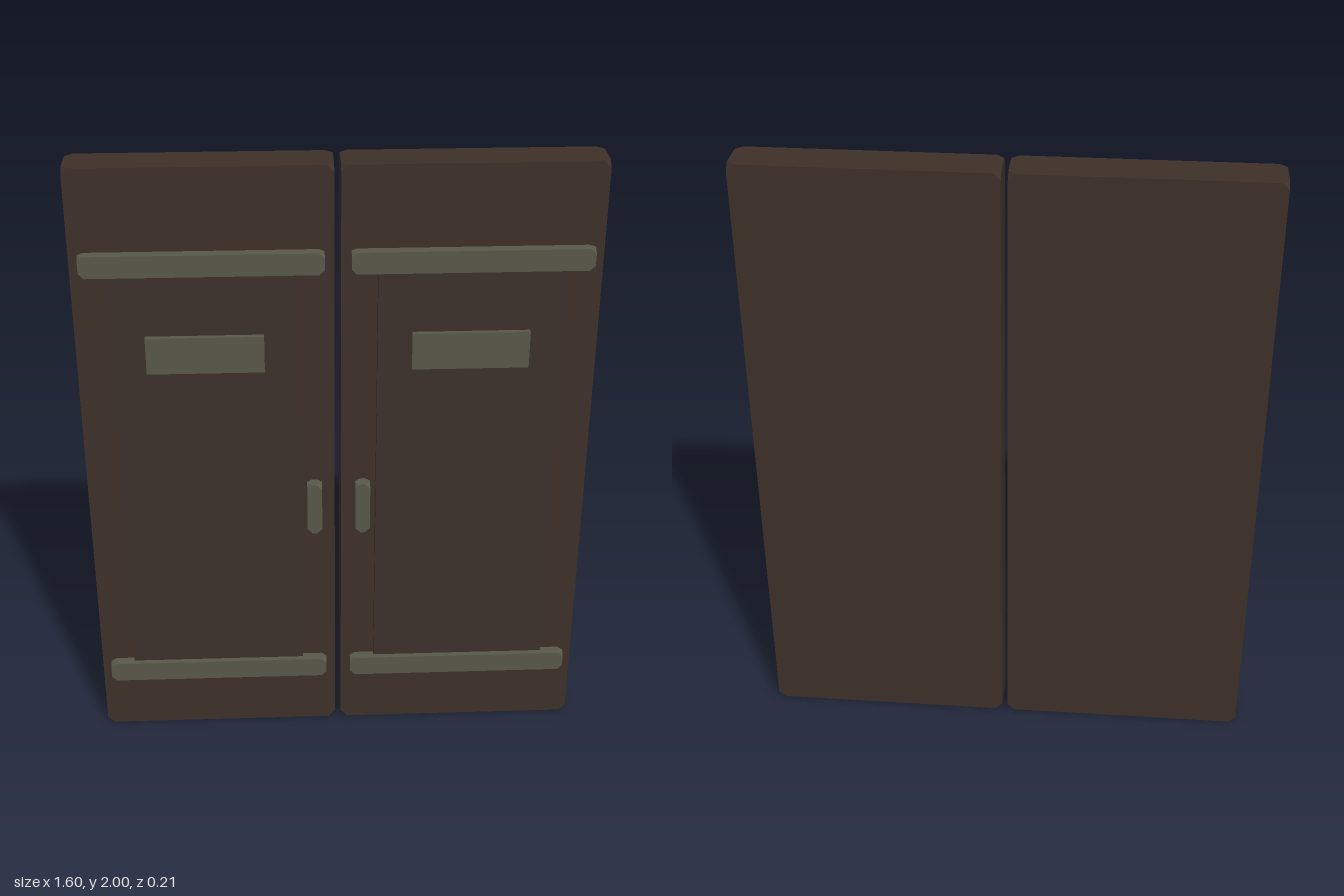
import * as THREE from 'three';
import { ConvexGeometry } from 'three/addons/geometries/ConvexGeometry.js';

const wood = new THREE.MeshStandardMaterial({ color: 0x3d3029, flatShading: true });
const panelWood = new THREE.MeshStandardMaterial({ color: 0x3d312b, flatShading: true });
const iron = new THREE.MeshStandardMaterial({ color: 0x58584a, flatShading: true });

// Box whose eight corners are sliced off by a small triangle
function clippedBox(w, h, d, cut) {
  const points = [];
  for (const x of [-1, 1]) for (const y of [-1, 1]) for (const z of [-1, 1]) {
    const corner = new THREE.Vector3(x * w / 2, y * h / 2, z * d / 2);
    points.push(
      corner.clone().add(new THREE.Vector3(-x * cut, 0, 0)),
      corner.clone().add(new THREE.Vector3(0, -y * cut, 0)),
      corner.clone().add(new THREE.Vector3(0, 0, -z * cut)),
    );
  }
  return new ConvexGeometry(points);
}

// Adds a block given its extents; cut = 0 gives a plain box
function addBlock(parent, name, material, [x0, x1], [y0, y1], [z0, z1], cut = 0) {
  const size = [x1 - x0, y1 - y0, z1 - z0];
  const geometry = cut ? clippedBox(...size, cut) : new THREE.BoxGeometry(...size);
  const mesh = new THREE.Mesh(geometry, material);
  mesh.name = name;
  mesh.position.set((x0 + x1) / 2, (y0 + y1) / 2, (z0 + z1) / 2);
  parent.add(mesh);
}

// One door leaf; side is +1 for left, -1 for right
function createLeaf(side) {
  const leaf = new THREE.Group();
  leaf.name = side > 0 ? 'leftDoor' : 'rightDoor';
  const span = (a, b) => (side > 0 ? [a, b] : [-b, -a]);

  addBlock(leaf, 'doorSlab', wood, span(0.01, 0.8), [0, 2], [-0.107, 0.032], 0.022);

  // Thin panel standing slightly proud of the slab
  addBlock(leaf, 'raisedPanel', panelWood, span(0.12, 0.69), [0.283, 1.675], [0.046, 0.064]);

  // Horizontal straps above and below the panel
  addBlock(leaf, 'topStrap', iron, span(0.04, 0.77), [1.673, 1.742], [0.032, 0.068], 0.016);
  addBlock(leaf, 'bottomStrap', iron, span(0.04, 0.77), [0.204, 0.272], [0.032, 0.068], 0.016);

  addBlock(leaf, 'plate', iron, span(0.225, 0.585), [1.363, 1.482], [0.064, 0.081]);
  addBlock(leaf, 'handle', iron, span(0.053, 0.1), [0.798, 0.975], [0.066, 0.107], 0.016);
  return leaf;
}

export function createModel() {
  const model = new THREE.Group();
  model.name = 'doubleDoor';
  for (const side of [1, -1]) model.add(createLeaf(side));
  return model;
}
